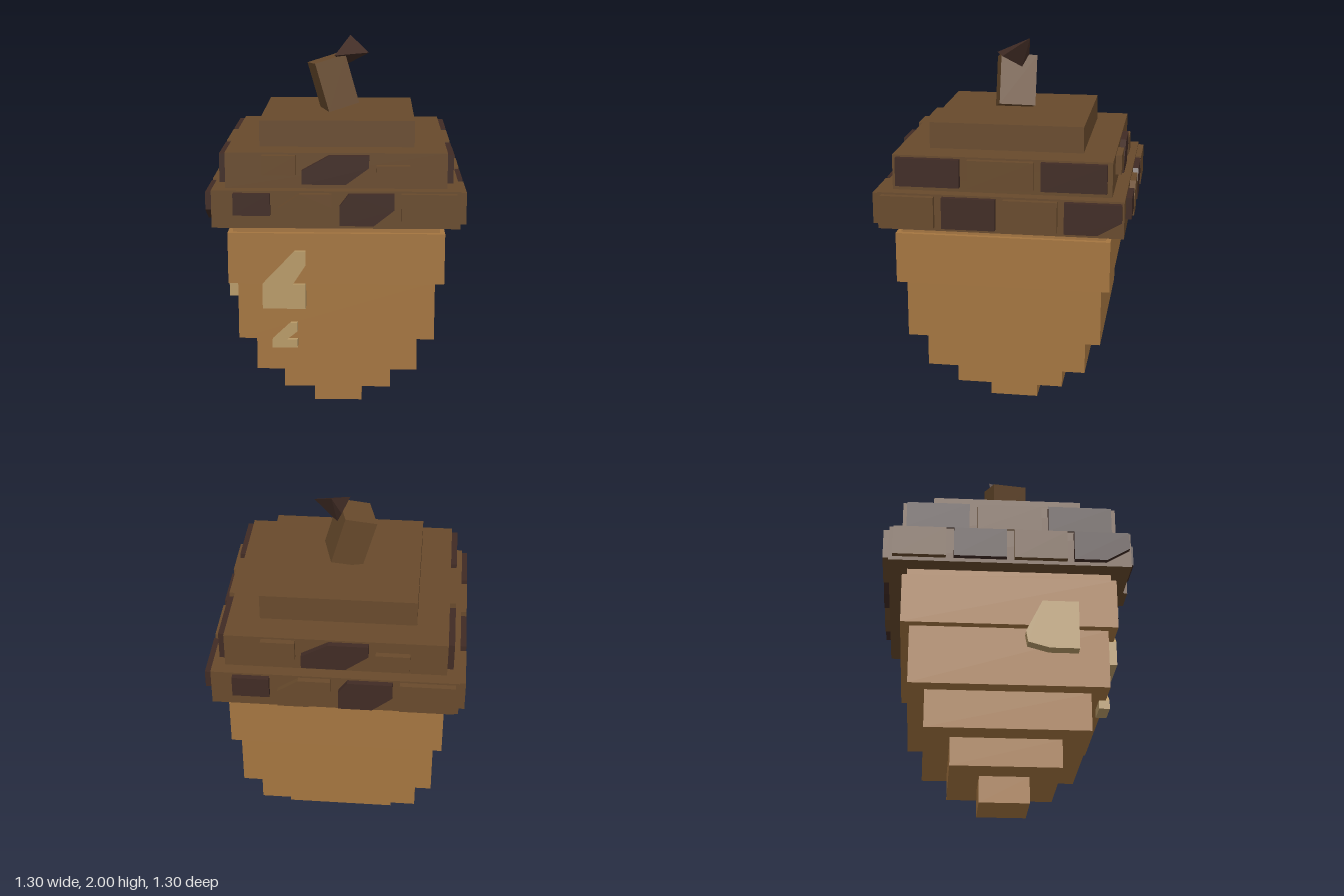
import * as THREE from 'three';
import { ConvexGeometry } from 'three/addons/geometries/ConvexGeometry.js';

function material(name, color) {
  const m = new THREE.MeshStandardMaterial({ color });
  m.name = name;
  return m;
}

export function createModel() {
  const shell = material('nut tan', 0xa47540);
  const cap = material('cap brown', 0x684a2c);
  const dark = material('dark scale', 0x402b24);
  const pale = material('pale spot', 0xb89a68);

  const model = new THREE.Group();
  model.name = 'acorn';

  function add(parent, name, geometry, mat) {
    const mesh = new THREE.Mesh(geometry, mat);
    mesh.name = name;
    parent.add(mesh);
    return mesh;
  }

  // Square tier from y0 to y1 with half width r
  function tier(name, r, y0, y1, mat) {
    add(model, name, new THREE.BoxGeometry(2 * r, y1 - y0, 2 * r), mat).position.y = (y0 + y1) / 2;
  }

  // Flat-outlined plate on a side wall, from depth z0 out to z1
  function plate(parent, name, points, z0, z1, mat) {
    const shape = new THREE.Shape(points.map(([x, y]) => new THREE.Vector2(x, y)));
    const geometry = new THREE.ExtrudeGeometry(shape, { depth: z1 - z0, bevelEnabled: false });
    add(parent, name, geometry, mat).position.z = z0;
  }
  const rect = (x0, x1, y0, y1) => [[x0, y0], [x1, y0], [x1, y1], [x0, y1]];

  function side(name, angle) {
    const g = new THREE.Group();
    g.name = name;
    g.rotation.y = angle;
    model.add(g);
    return g;
  }

  // Stepped nut
  [[0.13, 0, 0.14], [0.285, 0.14, 0.29], [0.42, 0.29, 0.49], [0.505, 0.49, 0.8],
    [0.55, 0.8, 1.065], [0.525, 1.065, 1.11]]
    .forEach(([r, y0, y1], i) => tier('nutTier' + (i + 1), r, y0, y1, shell));

  // Stepped cap
  [[0.62, 1.11, 1.3], [0.555, 1.3, 1.48], [0.395, 1.48, 1.615]]
    .forEach(([r, y0, y1], i) => tier('capTier' + (i + 1), r, y0, y1, cap));

  // Cap scales: outline and colour, for the lower and upper bands
  const frontLower = [
    [rect(-0.51, -0.325, 1.18, 1.29), dark],
    [[[-0.285, 1.13], [-0.13, 1.13], [-0.02, 1.22], [-0.02, 1.29], [-0.18, 1.29], [-0.285, 1.22]], cap],
    [[[0.02, 1.13], [0.19, 1.13], [0.29, 1.21], [0.29, 1.29], [0.065, 1.29], [0.02, 1.23]], dark],
    [rect(0.325, 0.6, 1.13, 1.29), cap],
  ];
  const frontUpper = [
    [rect(-0.37, -0.2, 1.37, 1.47), cap],
    [[[-0.17, 1.325], [0.05, 1.325], [0.165, 1.41], [0.165, 1.47], [-0.035, 1.47], [-0.17, 1.395]], dark],
    [rect(0.2, 0.37, 1.325, 1.42), cap],
  ];
  const flankLower = [
    [rect(-0.6, -0.33, 1.13, 1.29), cap],
    [rect(-0.29, -0.02, 1.13, 1.29), dark],
    [rect(0.02, 0.29, 1.13, 1.29), cap],
    [[[0.325, 1.13], [0.49, 1.13], [0.61, 1.2], [0.61, 1.29], [0.325, 1.29]], dark],
  ];
  const flankUpper = [
    [rect(-0.535, -0.21, 1.325, 1.47), dark],
    [rect(-0.17, 0.165, 1.325, 1.47), cap],
    [rect(0.2, 0.53, 1.325, 1.47), dark],
  ];
  ['front', 'left', 'back', 'right'].forEach((name, i) => {
    const g = side(name + 'Scales', i * Math.PI / 2);
    const flank = i % 2 === 1;
    for (const [pts, mat] of flank ? flankLower : frontLower) plate(g, 'lowerScale', pts, 0.61, 0.65, mat);
    for (const [pts, mat] of flank ? flankUpper : frontUpper) plate(g, 'upperScale', pts, 0.545, 0.586, mat);
  });

  // Pale spots on the nut
  const front = side('frontSpots', 0);
  plate(front, 'largeSpot', [[-0.375, 0.67], [-0.155, 0.67], [-0.155, 0.8], [-0.22, 0.8],
    [-0.155, 0.9], [-0.155, 0.975], [-0.21, 0.975], [-0.375, 0.8]], 0.5, 0.565, pale);
  plate(front, 'smallSpot', [[-0.33, 0.445], [-0.2, 0.445], [-0.2, 0.49], [-0.255, 0.49],
    [-0.2, 0.535], [-0.2, 0.58], [-0.235, 0.58], [-0.33, 0.49]], 0.47, 0.525, pale);
  plate(side('rightSpots', -Math.PI / 2), 'sideSpot', [[0.09, 0.7], [0.2, 0.67], [0.35, 0.67],
    [0.35, 0.93], [0.165, 0.93], [0.08, 0.76]], 0.5, 0.567, pale);

  // Leaning stem and its broken tip
  const stem = add(model, 'stem', new THREE.BoxGeometry(0.17, 0.265, 0.19), cap);
  stem.position.set(-0.03, 1.757, 0.01);
  stem.rotation.set(0, 0.27, 0.28, 'ZYX');
  add(model, 'stemTip', new ConvexGeometry([[0.06, 2, -0.075], [0.16, 1.92, 0.055], [-0.02, 1.91, 0.11],
    [0.035, 1.845, -0.03], [0.01, 1.91, -0.065]].map((p) => new THREE.Vector3(...p))), dark);

  return model;
}
